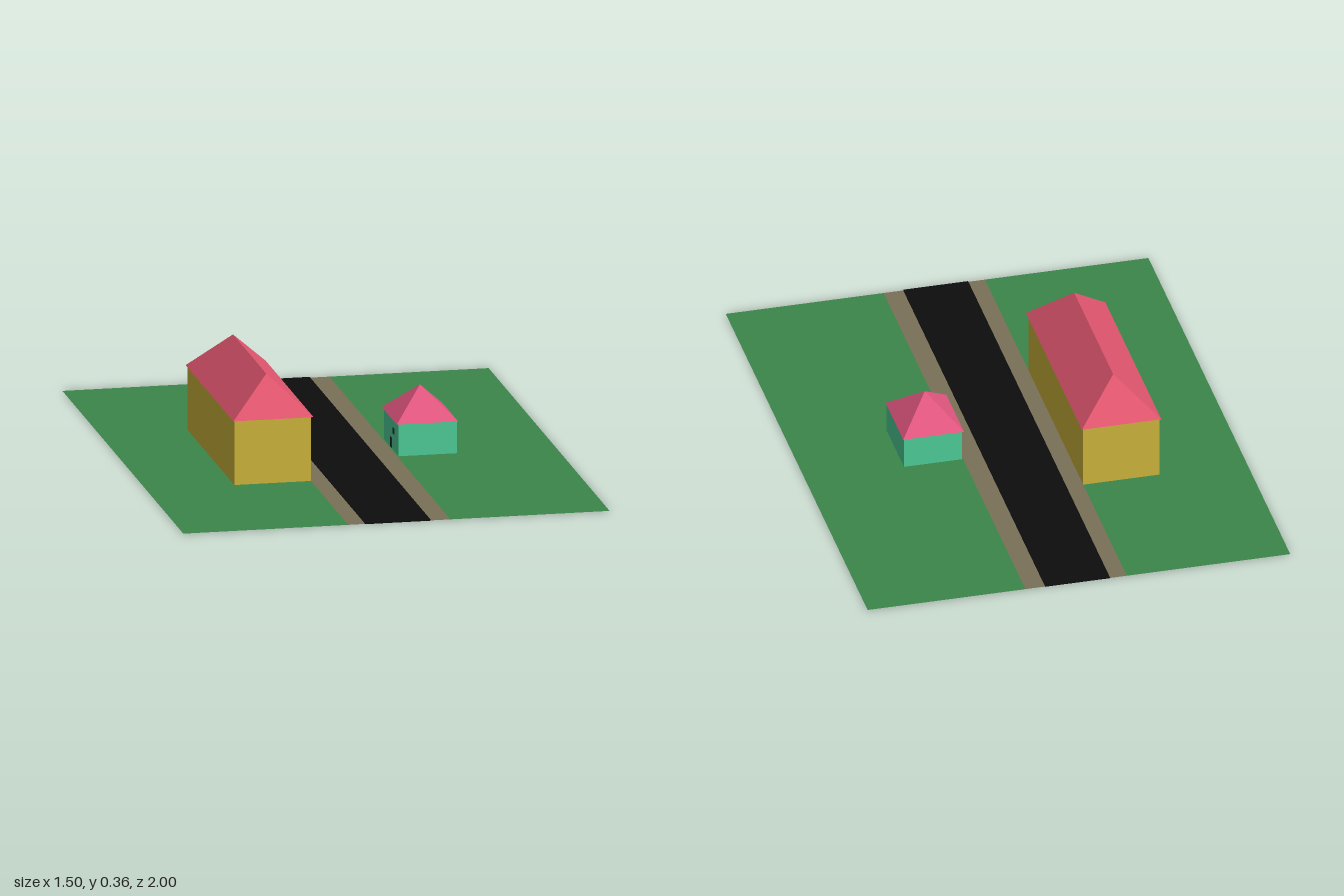
import * as THREE from 'three';

const paint = (color) => new THREE.MeshStandardMaterial({ color, side: THREE.DoubleSide, flatShading: true });

// Flat ground strip running the whole length of the street
function strip(name, x0, x1, y, color) {
  const geo = new THREE.PlaneGeometry(x1 - x0, 2).rotateX(-Math.PI / 2);
  geo.translate((x0 + x1) / 2, y, 0);
  const mesh = new THREE.Mesh(geo, paint(color));
  mesh.name = name;
  return mesh;
}

// Box given by its lower and upper corners
function block(name, [x0, y0, z0], [x1, y1, z1], color) {
  const geo = new THREE.BoxGeometry(x1 - x0, y1 - y0, z1 - z0);
  geo.translate((x0 + x1) / 2, (y0 + y1) / 2, (z0 + z1) / 2);
  const mesh = new THREE.Mesh(geo, paint(color));
  mesh.name = name;
  return mesh;
}

// Hipped roof: a box whose top is drawn in to a ridge along z (or to a point)
function hippedRoof(name, width, length, height, ridge, color) {
  const box = new THREE.BoxGeometry(width, height, length);
  const pos = box.attributes.position;
  for (let i = 0; i < pos.count; i++) {
    if (pos.getY(i) > 0) pos.setXYZ(i, 0, height, Math.sign(pos.getZ(i)) * ridge / 2);
    else pos.setY(i, 0);
  }
  const geo = box.toNonIndexed();
  geo.computeVertexNormals();
  const mesh = new THREE.Mesh(geo, paint(color));
  mesh.name = name;
  return mesh;
}

export function createModel() {
  const model = new THREE.Group();
  model.name = 'streetWithHouses';

  // Ground and street
  model.add(
    strip('lawnRight', -0.75, -0.17, 0.001, 0x3b8649),
    strip('pavementRight', -0.17, -0.11, 0.001, 0x7a7058),
    block('road', [-0.11, 0, -1], [0.12, 0.004, 1], 0x0d0d0d),
    strip('pavementLeft', 0.12, 0.19, 0.001, 0x7a7058),
    strip('lawnLeft', 0.19, 0.75, 0.001, 0x3b8649),
  );

  // Long house
  const longHouse = new THREE.Group();
  longHouse.name = 'longHouse';
  const longRoof = hippedRoof('longRoof', 0.282, 0.79, 0.132, 0.55, 0xe0556e);
  longRoof.position.set(-0.304, 0.23, 0);
  longHouse.add(block('longWalls', [-0.44, 0, -0.385], [-0.17, 0.23, 0.385], 0xd0b83e), longRoof);
  model.add(longHouse);

  // Small house, with its door and window facing the road
  const smallHouse = new THREE.Group();
  smallHouse.name = 'smallHouse';
  const smallRoof = hippedRoof('smallRoof', 0.216, 0.25, 0.106, 0, 0xe0567f);
  smallRoof.position.set(0.296, 0.115, -0.003);
  smallHouse.add(
    block('smallWalls', [0.195, 0.002, -0.123], [0.4, 0.115, 0.121], 0x50d09a),
    smallRoof,
    block('door', [0.193, 0.004, -0.015], [0.196, 0.04, 0.01], 0x1c2a24),
    block('window', [0.193, 0.06, 0.025], [0.196, 0.082, 0.047], 0x1c2a24),
  );
  model.add(smallHouse);

  return model;
}
